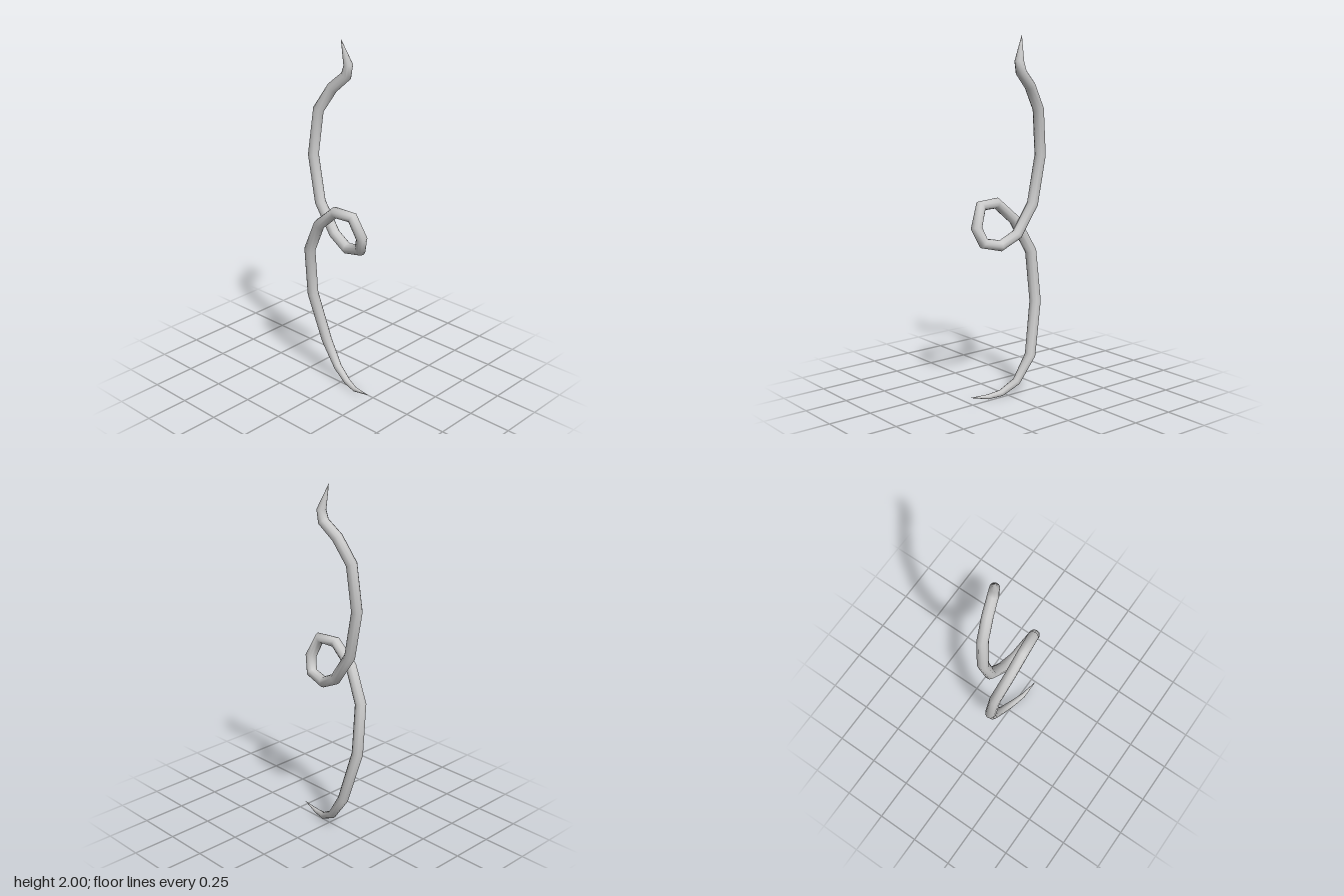
import * as THREE from 'three';

const SIDES = 10;

// Centreline from top tip to bottom tip: x, y, z, radius
const PATH = [
  [-0.05, 2.0, -0.053, 0.0005], [-0.016, 1.865, -0.073, 0.026], [-0.03, 1.805, -0.072, 0.03],
  [-0.11, 1.73, -0.05, 0.031], [-0.19, 1.6, -0.026, 0.031], [-0.217, 1.345, -0.012, 0.031],
  [-0.165, 1.08, -0.01, 0.031], [-0.055, 0.92, -0.009, 0.031], [0.05, 0.868, 0.003, 0.031],
  [0.157, 0.893, 0.015, 0.031], [0.188, 0.977, 0.038, 0.031], [0.14, 1.09, 0.06, 0.031],
  [0.025, 1.092, 0.071, 0.031], [-0.1, 0.985, 0.067, 0.031], [-0.198, 0.8, 0.043, 0.032],
  [-0.207, 0.515, 0.013, 0.032], [-0.137, 0.22, -0.027, 0.03], [-0.043, 0.082, -0.02, 0.023],
  [0.05, 0.029, 0.0, 0.019], [0.127, 0.018, 0.02, 0.014], [0.24, 0.033, 0.035, 0.0005],
];

// Sweeps a ring of varying radius along the path, carrying its frame without twist
function taperedTube(path, sides) {
  const pts = path.map(([x, y, z]) => new THREE.Vector3(x, y, z));
  const last = pts.length - 1;
  const dir = (i) => pts[i + 1].clone().sub(pts[i]).normalize();
  const u = new THREE.Vector3(0, 0, 1);
  const positions = [], index = [];
  pts.forEach((p, i) => {
    const t = dir(Math.min(i, last - 1)).add(dir(Math.max(i - 1, 0))).normalize();
    u.addScaledVector(t, -u.dot(t)).normalize();
    const v = t.clone().cross(u);
    for (let j = 0; j < sides; j++) {
      const a = (j / sides) * Math.PI * 2;
      const q = p.clone()
        .addScaledVector(u, Math.cos(a) * path[i][3])
        .addScaledVector(v, Math.sin(a) * path[i][3]);
      positions.push(q.x, q.y, q.z);
      if (i < last) {
        const k = (j + 1) % sides, r0 = i * sides, r1 = r0 + sides;
        index.push(r0 + j, r0 + k, r1 + j, r0 + k, r1 + k, r1 + j);
      }
    }
  });
  const geometry = new THREE.BufferGeometry();
  geometry.setAttribute('position', new THREE.Float32BufferAttribute(positions, 3));
  geometry.setIndex(index);
  geometry.computeVertexNormals();
  return geometry;
}

export function createModel() {
  const group = new THREE.Group();
  group.name = 'curledTendril';
  const tendril = new THREE.Mesh(
    taperedTube(PATH, SIDES),
    new THREE.MeshStandardMaterial({ color: 0xcccccc })
  );
  tendril.name = 'tendril';
  group.add(tendril);
  return group;
}
